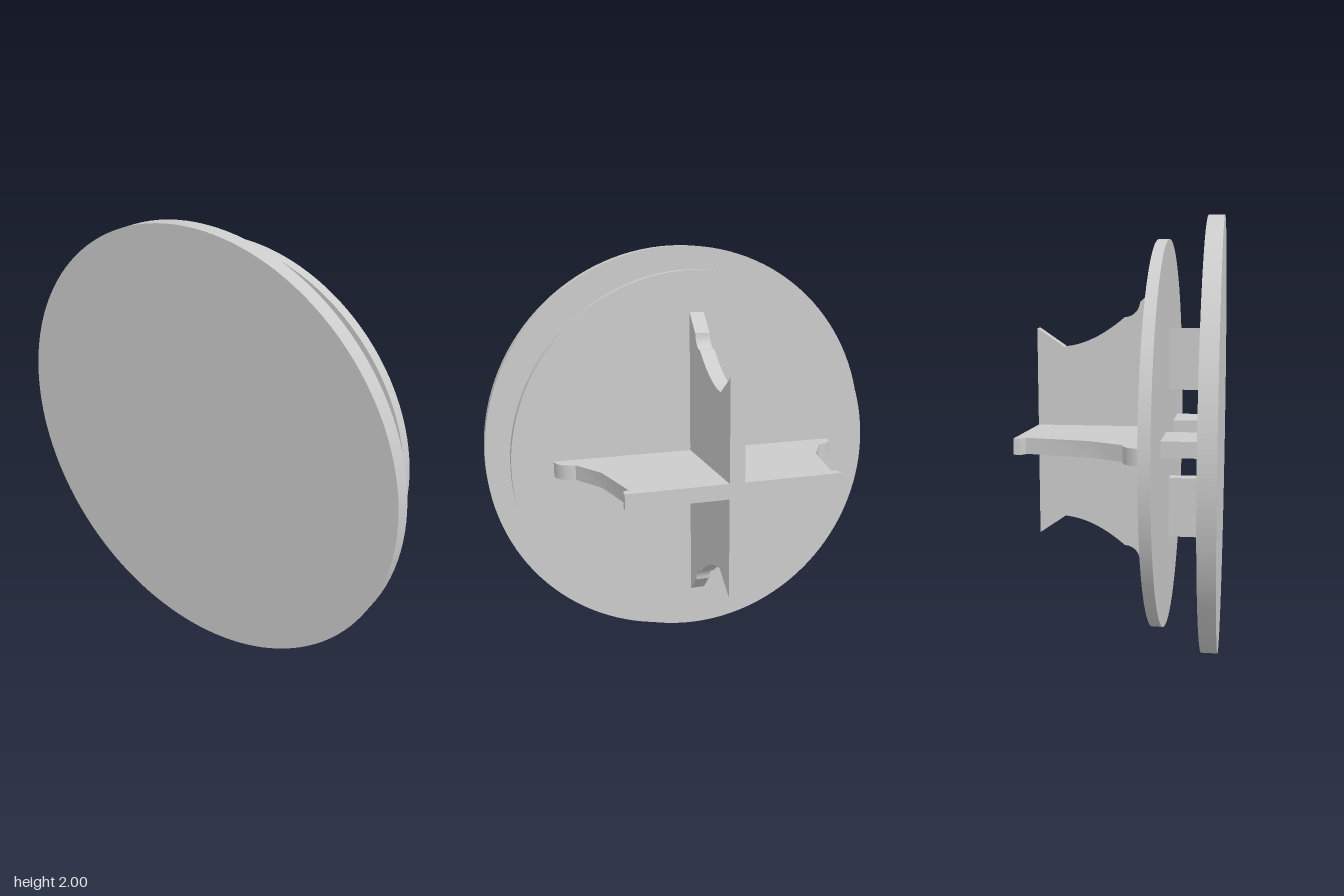
import * as THREE from 'three';
import { toCreasedNormals } from 'three/addons/utils/BufferGeometryUtils.js';

const THICK = 0.07;
const FRONT = 0.437, FRONT_BACK = 0.365; // front disc
const REAR_FRONT = 0.19, REAR_BACK = 0.141; // rear disc
const END = -0.437; // free end of the fins

export function createModel() {
  const model = new THREE.Group();
  const hub = new THREE.Group();
  hub.name = 'plug';
  hub.position.y = 1;
  model.add(hub);

  const material = new THREE.MeshStandardMaterial({ color: 0xcccccc });
  const add = (name, geometry) => {
    const mesh = new THREE.Mesh(geometry, material);
    mesh.name = name;
    hub.add(mesh);
    return mesh;
  };

  // Discs facing the front
  const disc = (name, radius, z0, z1) => {
    const g = new THREE.CylinderGeometry(radius, radius, z1 - z0, 128);
    g.rotateX(Math.PI / 2);
    add(name, g).position.z = (z0 + z1) / 2;
  };
  disc('frontDisc', 1, FRONT_BACK, FRONT);
  disc('rearDisc', 0.897, REAR_BACK, REAR_FRONT);

  // Four radial spacers joining the discs
  for (let i = 0; i < 4; i++) {
    const g = new THREE.BoxGeometry(0.285, THICK, FRONT_BACK - REAR_FRONT);
    g.translate(0.3525, 0, (FRONT_BACK + REAR_FRONT) / 2);
    g.rotateZ(i * Math.PI / 2);
    add('spacer' + (i + 1), g);
  }

  // Symmetrical fin from a half outline drawn as (radius, z)
  const fin = (name, outline, angle) => {
    const half = outline.getPoints(14);
    const mirrored = half.map((p) => new THREE.Vector2(-p.x, p.y)).reverse();
    let g = new THREE.ExtrudeGeometry(new THREE.Shape([...half, ...mirrored]), {
      depth: THICK, bevelEnabled: false,
    });
    g.translate(0, 0, -THICK / 2);
    g.rotateX(Math.PI / 2);
    g.rotateZ(angle);
    g = toCreasedNormals(g, 0.4);
    add(name, g);
  };

  // Upright fin: chamfer, small cove, long sweep and flared tip
  const upright = new THREE.Path();
  upright.moveTo(0.703, REAR_BACK);
  upright.lineTo(0.613, 0.05);
  upright.absarc(0.616, -0.02, 0.07, Math.PI / 2, Math.PI, false);
  upright.quadraticCurveTo(0.42, -0.168, 0.408, -0.31);
  upright.lineTo(0.495, END);
  fin('uprightFin', upright, Math.PI / 2);

  // Level fin: rounded foot, tapering sides and small lip
  const level = new THREE.Path();
  level.moveTo(0.702, REAR_BACK);
  level.bezierCurveTo(0.702, 0.085, 0.665, 0.048, 0.615, 0.048);
  level.lineTo(0.524, -0.107);
  level.lineTo(0.465, -0.388);
  level.quadraticCurveTo(0.492, -0.39, 0.493, -0.412);
  level.lineTo(0.493, END);
  fin('levelFin', level, 0);

  return model;
}
